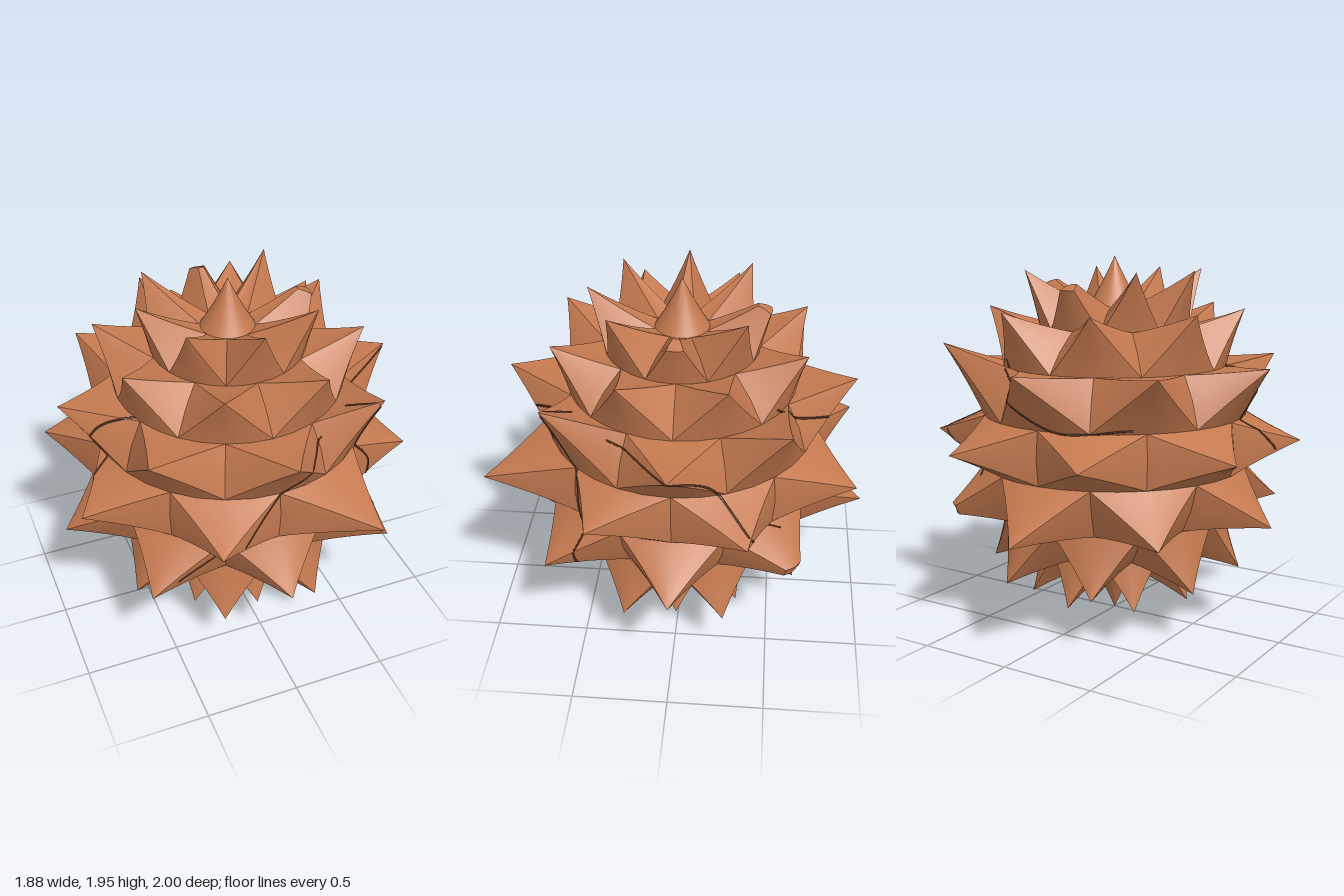
import * as THREE from 'three';
import { toCreasedNormals } from 'three/addons/utils/BufferGeometryUtils.js';

const MID = 0.98;   // height of the ball's centre
const BODY = 0.72;  // radius of the ball at the valleys between spikes
const DEG = Math.PI / 180;

// Point from latitude and longitude in degrees, longitude 0 facing the front
function onBall(lat, lon, r = BODY) {
  const c = Math.cos(lat * DEG) * r;
  return new THREE.Vector3(Math.sin(lon * DEG) * c, Math.sin(lat * DEG) * r, Math.cos(lon * DEG) * c);
}

// Rim of a rectangular patch, 45 degrees wide and 22.5 high, counterclockwise from outside
function patchRim(lat, lon) {
  const corners = [[-1, -1, 4], [1, -1, 2], [1, 1, 4], [-1, 1, 2]];
  const rim = [];
  corners.forEach(([u, v, n], i) => {
    const [u2, v2] = corners[(i + 1) % 4];
    for (let k = 0; k < n; k++) {
      const f = k / n;
      rim.push(onBall(lat + (v + (v2 - v) * f) * 11.25, lon + (u + (u2 - u) * f) * 22.5));
    }
  });
  return rim;
}

// Slightly flared spike from a rim to a tip; cut < 1 snaps the tip off flat
function spikeGeometry(rim, tip, cut = 1) {
  const LAYERS = 6, n = rim.length, loops = [], out = [];
  for (let i = 0; i <= LAYERS; i++) {
    const t = (cut * i) / LAYERS;
    loops.push(rim.map((p) => p.clone().lerp(tip, t).multiplyScalar(1 - 0.05 * t * (1 - t))));
  }
  const put = (...pts) => pts.forEach((p) => out.push(p.x, p.y, p.z));
  for (let i = 0; i < LAYERS; i++) {
    for (let j = 0; j < n; j++) {
      const k = (j + 1) % n, a = loops[i], b = loops[i + 1];
      put(a[j], a[k], b[k]);
      if (i < LAYERS - 1 || cut < 1) put(a[j], b[k], b[j]);
    }
  }
  if (cut < 1) {
    const end = loops[LAYERS];
    const centre = end.reduce((s, p) => s.add(p), new THREE.Vector3()).divideScalar(n);
    for (let j = 0; j < n; j++) put(end[j], end[(j + 1) % n], centre);
  }
  const g = new THREE.BufferGeometry();
  g.setAttribute('position', new THREE.Float32BufferAttribute(out, 3));
  return toCreasedNormals(g, 0.6);
}

// Rows of eight spikes: latitude, tip radius, tip height, longitude offset, special spikes
const ROWS = [
  { name: 'crownSpike', lat: 67.5, r: 0.48, y: 0.9, off: 0, cut: { 2: 0.72, 4: 0.72 } },
  { name: 'upperSpike', lat: 45, r: 0.69, y: 0.7, off: 22.5 },
  { name: 'shoulderSpike', lat: 22.5, r: 0.91, y: 0.43, off: 0,
    tips: { 1: [0.57, 0.51, 0.65], 2: [0.92, 0.38, 0], 3: [0.71, 0.52, -0.57] } },
  { name: 'equatorSpike', lat: 0, r: 1.0, y: 0.01, off: 22.5,
    tips: { 0: [0.43, 0, 1.0], 1: [0.86, 0.01, 0.41] } },
  { name: 'hipSpike', lat: -22.5, r: 0.94, y: -0.38, off: 0,
    tips: { 0: [0, -0.4, 0.9], 4: [-0.04, -0.38, -1.0] }, cut: { 3: 0.8 } },
  { name: 'lowerSpike', lat: -45, r: 0.69, y: -0.71, off: 22.5 },
  { name: 'footSpike', lat: -67.5, r: 0.46, y: -0.85, off: 0 },
];

// Cracks as rough paths over the ball, later dropped onto the surface
const CRACKS = [
  [[0.27, 0.34, 0.6], [0.14, 0.26, 0.7], [0, 0.14, 0.72], [-0.2, -0.04, 0.68], [-0.26, -0.2, 0.65], [-0.42, -0.27, 0.52]],
  [[0.5, 0.5, 0.6], [0.5, 0.2, 0.52], [0.6, 0, 0.46], [0.55, -0.38, 0.45], [0.4, -0.6, 0.36]],
  [[0.62, 0.4, 0.35], [0.66, 0.3, 0.1], [0.67, 0.2, -0.18], [0.63, -0.05, -0.35], [0.5, -0.18, -0.55]],
  [[-0.58, 0.42, 0.2], [-0.66, 0.32, 0.12], [-0.68, 0.15, 0.1], [-0.68, -0.02, 0.2]],
  [[0.35, 0.45, -0.5], [0.2, 0.3, -0.64], [-0.1, 0.14, -0.7], [-0.45, 0.16, -0.55]],
];

export function createModel() {
  const group = new THREE.Group();
  const clay = new THREE.MeshStandardMaterial({ color: 0xc4794f });
  const dark = new THREE.MeshStandardMaterial({ color: 0x5a3220 });

  const ball = new THREE.Group();
  ball.name = 'spikedBall';
  ball.position.y = MID;
  group.add(ball);
  const add = (name, geometry, material = clay) => {
    const mesh = new THREE.Mesh(geometry, material);
    mesh.name = name;
    ball.add(mesh);
    return mesh;
  };

  // Staggered rows of spikes that together cover the ball
  const shell = [];
  for (const row of ROWS) {
    for (let k = 0; k < 8; k++) {
      const lon = row.off + k * 45, a = lon * DEG;
      const special = row.tips?.[k];
      const tip = special
        ? new THREE.Vector3(...special)
        : new THREE.Vector3(Math.sin(a) * row.r, row.y, Math.cos(a) * row.r);
      shell.push(add(row.name, spikeGeometry(patchRim(row.lat, lon), tip, row.cut?.[k])));
    }
  }

  // Round spikes at the two poles
  for (const s of [1, -1]) {
    const rim = Array.from({ length: 32 }, (_, i) => onBall(78.75 * s, i * 11.25 * s));
    shell.push(add(s > 0 ? 'topSpike' : 'bottomSpike', spikeGeometry(rim, new THREE.Vector3(0, s > 0 ? 0.97 : -0.98, 0))));
  }

  // Thin cracks following the surface
  const ray = new THREE.Raycaster();
  for (const path of CRACKS) {
    const guide = new THREE.CatmullRomCurve3(path.map((p) => new THREE.Vector3(...p)));
    const points = [];
    for (const p of guide.getSpacedPoints(50)) {
      const dir = p.normalize();
      ray.set(dir.clone().multiplyScalar(2), dir.clone().negate());
      // Local coordinates: the meshes have not been moved yet
      const hit = ray.intersectObjects(shell, false)[0];
      if (hit) points.push(hit.point);
    }
    if (points.length < 2) continue;
    const line = new THREE.CurvePath();
    for (let i = 1; i < points.length; i++) line.add(new THREE.LineCurve3(points[i - 1], points[i]));
    add('crack', new THREE.TubeGeometry(line, 100, 0.006, 4), dark);
  }
  return group;
}
